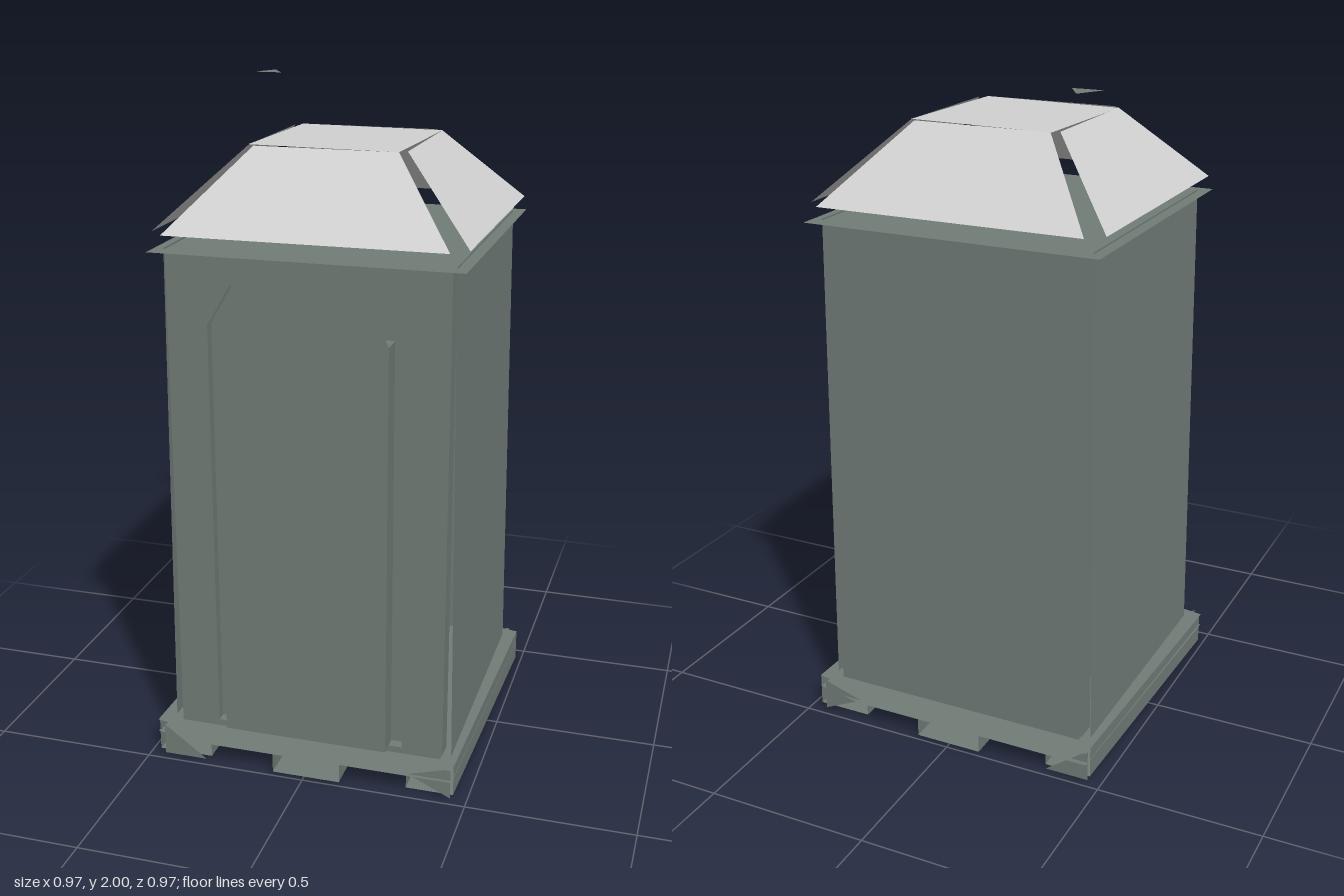
import * as THREE from 'three';

export function createModel() {
  const green = new THREE.MeshStandardMaterial({ color: 0x727d78, side: THREE.DoubleSide, flatShading: true });
  green.name = 'grey green plastic';
  const pale = new THREE.MeshStandardMaterial({ color: 0xd0d1d0, side: THREE.DoubleSide, flatShading: true });
  pale.name = 'pale roof plastic';
  const model = new THREE.Group();
  model.name = 'portableCabin';

  const add = (name, geometry, parent = model, material = green) => {
    const mesh = new THREE.Mesh(geometry, material);
    mesh.name = name;
    parent.add(mesh);
    return mesh;
  };
  // Group turned about y, its face leaning inwards by tilt
  const group = (name, turn, tilt = 0) => {
    const g = new THREE.Group();
    g.name = name;
    g.rotation.set(-tilt, turn, 0, 'YXZ');
    model.add(g);
    return g;
  };
  const box = (name, x0, x1, y0, y1, z0, z1) => add(name,
    new THREE.BoxGeometry(x1 - x0, y1 - y0, z1 - z0).translate((x0 + x1) / 2, (y0 + y1) / 2, (z0 + z1) / 2));
  const shape = pts => new THREE.Shape(pts.map(p => new THREE.Vector2(...p)));
  const rect = (x0, x1, y0, y1) => [[x0, y0], [x1, y0], [x1, y1], [x0, y1]];
  // Upright sheet facing +z
  const panel = (name, pts, z, parent = model) =>
    add(name, new THREE.ShapeGeometry(shape(pts)).translate(0, 0, z), parent);
  // Horizontal sheet from (x, z) points, facing up
  const sheet = (name, pts, y, material = green) =>
    add(name, new THREE.ShapeGeometry(shape(pts.map(([x, z]) => [x, -z])))
      .rotateX(-Math.PI / 2).translate(0, y, 0), model, material);
  // Flat four-cornered sheet
  const quad = (name, [a, b, c, d], parent = model, material = green) => {
    const g = new THREE.BufferGeometry();
    g.setAttribute('position', new THREE.Float32BufferAttribute([a, b, c, a, c, d].flat(), 3));
    g.computeVertexNormals();
    return add(name, g, parent, material);
  };
  const FRONT = 0.427, HALF = 0.41, FLOOR = 0.1, TOP = 1.585, RAISE = 0.008;

  // Skid base: deck, its underside, outer walls and open-ended runners
  const deck = [[-0.455, -0.485], [0.32, -0.485], [0.48, -0.45], [0.455, 0.48], [-0.32, 0.48], [-0.485, 0.45]];
  sheet('baseDeck', deck, FLOOR);
  sheet('baseUnderside', deck, 0.06);
  for (const [x0, x1, z] of [[-0.467, -0.31, 0.45], [-0.1, 0.11, 0.48], [0.31, 0.467, 0.45]]) {
    // The outer walls run slightly askew
    const skew = x => (Math.abs(x) > 0.4 ? 0.0125 : 0);
    sheet('runnerSole', [[x0 - skew(x0), z], [x1 - skew(x1), z], [x1 + skew(x1), -z], [x0 + skew(x0), -z]], 0);
    for (const x of [x0, x1]) {
      const y = skew(x) ? FLOOR : 0.06;
      const [xf, xb] = [x - skew(x), x + skew(x)];
      quad('runnerSide', [[xf, 0, z], [xb, 0, -z], [xb, y, -z], [xf, y, z]]);
    }
  }
  for (const z of [-0.47, 0.47]) {
    panel('runnerGusset', [[-0.455, 0], [-0.32, 0], [-0.455, 0.1]], z);
    panel('runnerGusset', [[0.32, 0.06], [0.45, 0], [0.45, 0.1]], z);
  }

  // Back and side walls with vents, panels and creases
  for (const turn of [Math.PI / 2, -Math.PI / 2, Math.PI]) {
    const isBack = turn === Math.PI;
    const wall = isBack ? group('backWall', turn) : group('sideWall', turn, 0.0115);
    const z = isBack ? FRONT : 0.439;
    panel('wallPanel', rect(-HALF, HALF, FLOOR, TOP), z, wall);
    for (const s of [-1, 1]) panel('ventPanel', rect(s * 0.195 - 0.16, s * 0.195 + 0.16, 1.39, 1.505), z + RAISE, wall);
    panel('wallCrease', [[-0.36, 1.5], [-0.2, 0.52], [-0.35, 1.38]], z + RAISE / 2, wall);
    if (isBack) {
      panel('lowerCrease', [[-0.2, 0.42], [0, 0.36], [0.2, 0.38], [0.02, 0.37]], z + RAISE / 2, wall);
    } else {
      panel('sidePanel', rect(-0.27, 0.265, 0.985, 1.245), z + RAISE, wall);
    }
  }

  // Posts set back behind the open wall corners
  for (const sx of [-1, 1]) for (const sz of [-1, 1]) {
    box('cornerPost', sx * 0.38 - 0.03, sx * 0.38 + 0.03, FLOOR, TOP, sz * 0.38 - 0.03, sz * 0.38 + 0.03);
  }

  // Front wall with an arched door opening
  const opening = [[0.29, 0.12], [0.29, 1.38], [0.22, 1.5], [-0.22, 1.5], [-0.29, 1.38], [-0.29, 0.12]];
  const frontShape = shape(rect(-HALF, HALF, FLOOR, TOP));
  frontShape.holes.push(shape(opening));
  add('frontWall', new THREE.ShapeGeometry(frontShape).translate(0, 0, FRONT));
  panel('doorRecess', opening, 0.395);
  for (const s of [-1, 1]) {
    const x = s * 0.29;
    quad('openingReveal', [[x, 0.12, FRONT], [x, 0.12, 0.395], [x, 1.37, 0.395], [x, 1.37, FRONT]]);
    panel('frontSkirting', [[s * 0.305, 0.12], [s * 0.405, 0.12], [s * 0.405, 0.41], [s * 0.35, 0.475], [s * 0.305, 0.41]],
      FRONT + RAISE);
  }

  // Door with arched head and fittings
  const DOOR = 0.468;
  box('door', -0.25, 0.25, 0.12, 1.37, 0.4, DOOR);
  panel('doorHead', [[-0.25, 1.37], [0.25, 1.37], [0.22, 1.44], [-0.19, 1.48]], DOOR);
  panel('doorPanel', rect(-0.155, 0.15, 1.05, 1.26), DOOR + RAISE);
  panel('doorLatch', rect(0.13, 0.225, 0.86, 0.95), DOOR + RAISE);
  for (const s of [-1, 1]) {
    panel('doorBrace', [[s * 0.21, 0.5], [s * 0.21, 0.67], [s * 0.13, 0.67], [s * 0.08, 0.59]], DOOR + RAISE);
  }

  // Eave sheet closing the cabin under the roof
  sheet('eaveSheet', rect(-0.455, 0.455, -0.455, 0.455), TOP);

  // Roof: four sloping panels and a flat top, separated by open seams
  for (let i = 0; i < 4; i++) {
    quad('roofSlope', [[-HALF, 1.635, 0.455], [HALF, 1.635, 0.455], [0.212, 1.858, 0.232], [-0.212, 1.858, 0.232]],
      group('roofSide', i * Math.PI / 2), pale);
  }
  sheet('roofTop', [[-0.215, -0.235], [0.232, -0.215], [0.212, 0.232], [-0.235, 0.21]], 1.858, pale);

  // Vent cap above the back corner
  sheet('ventCap', [[-0.365, -0.415], [-0.41, -0.335], [-0.318, -0.335]], 2);

  return model;
}
